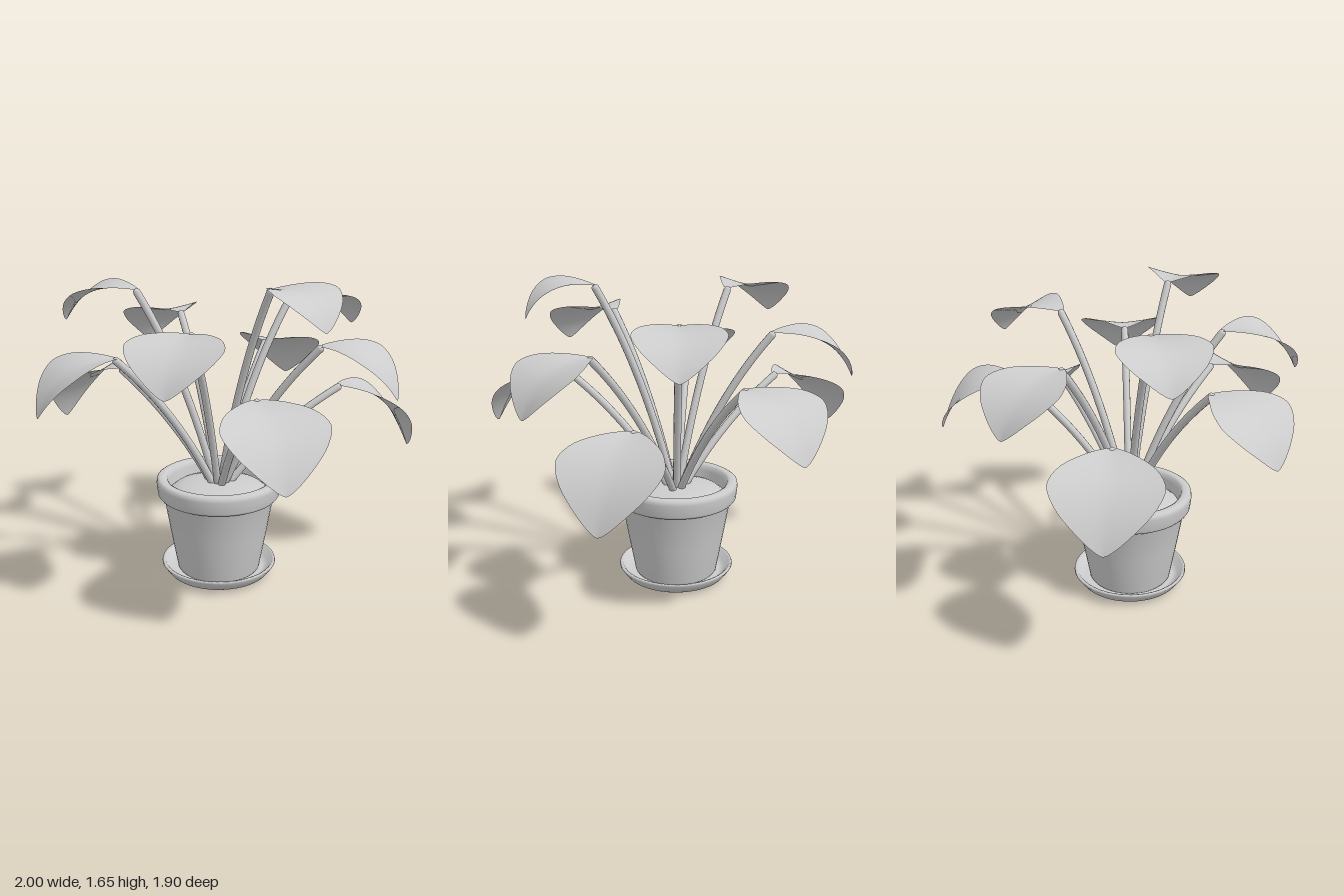
import * as THREE from 'three';

const clay = new THREE.MeshStandardMaterial({ color: 0xcccccc, side: THREE.DoubleSide });
clay.name = 'pale grey';

const CX = -0.007, CZ = 0.015; // pot axis

function add(parent, name, geometry) {
  const mesh = new THREE.Mesh(geometry, clay);
  mesh.name = name;
  parent.add(mesh);
  return mesh;
}

function lathe(parent, name, profile) {
  const points = profile.map(([r, y]) => new THREE.Vector2(r, y));
  add(parent, name, new THREE.LatheGeometry(points, 48)).position.set(CX, 0, CZ);
}

// Leaf outline: half width along its length, as a fraction of the widest half
const outline = new THREE.SplineCurve([
  [0, 0.1], [0.06, 0.28], [0.16, 0.53], [0.3, 0.83], [0.45, 1], [0.56, 0.98],
  [0.7, 0.8], [0.82, 0.55], [0.92, 0.3], [0.98, 0.11], [1, 0],
].map(([t, w]) => new THREE.Vector2(t, w)));

// A drooping blade with a slight fold along its midrib
function leafGeometry(base, tip, width) {
  const forward = new THREE.Vector3(tip.x - base.x, 0, tip.z - base.z);
  const run = forward.length(), drop = base.y - tip.y;
  forward.normalize();
  const up = new THREE.Vector3(0, 1, 0);
  const side = new THREE.Vector3().crossVectors(forward, up);
  const rib = new THREE.QuadraticBezierCurve(
    new THREE.Vector2(0, 0),
    new THREE.Vector2(run * 0.75, 0.115 - 0.39 * drop),
    new THREE.Vector2(run, -drop));
  const geometry = new THREE.PlaneGeometry(2, 1, 12, 30);
  const pos = geometry.attributes.position;
  const v = new THREE.Vector3();
  for (let i = 0; i < pos.count; i++) {
    const s = pos.getX(i);
    const o = outline.getPoint(THREE.MathUtils.clamp(pos.getY(i) + 0.5, 0, 1));
    const t = THREE.MathUtils.clamp(o.x, 0, 1);
    const p = rib.getPoint(t), d = rib.getTangent(t);
    const w = Math.max(o.y, 0);
    const lift = 0.03 * w * Math.pow(Math.abs(s), 1.4);
    v.copy(base)
      .addScaledVector(forward, p.x - d.y * lift)
      .addScaledVector(up, p.y + d.x * lift)
      .addScaledVector(side, s * w * width / 2);
    pos.setXYZ(i, v.x, v.y, v.z);
  }
  geometry.computeVertexNormals();
  return geometry;
}

// Leaf base, leaf tip, leaf width
const leaves = [
  [[0.15, 1.19, -0.55], [0.225, 0.915, -0.945], 0.49],
  [[-0.3, 1.37, -0.38], [-0.57, 1.145, -0.7], 0.45],
  [[-0.597, 1.075, -0.2], [-0.98, 0.745, -0.32], 0.51],
  [[-0.435, 1.547, 0.015], [-0.825, 1.38, 0.015], 0.43],
  [[-0.465, 1.25, 0.305], [-0.805, 0.985, 0.525], 0.48],
  [[-0.04, 1.427, 0.487], [-0.07, 1.215, 0.885], 0.455],
  [[0.295, 1.612, 0.285], [0.58, 1.455, 0.495], 0.41],
  [[0.275, 1.142, 0.535], [0.465, 0.83, 0.91], 0.5],
  [[0.52, 1.31, 0.1], [0.91, 1.07, 0.16], 0.475],
  [[0.595, 1.027, -0.25], [0.98, 0.67, -0.39], 0.51],
  [[0.315, 1.483, -0.285], [0.635, 1.31, -0.56], 0.42],
];

export function createModel() {
  const model = new THREE.Group();
  model.name = 'pottedPlant';

  lathe(model, 'saucer', [
    [0, 0], [0.215, 0], [0.25, 0.006], [0.275, 0.02], [0.295, 0.045], [0.312, 0.07],
    [0.309, 0.08], [0.295, 0.078], [0.27, 0.045], [0.24, 0.03], [0, 0.03],
  ]);
  lathe(model, 'pot', [
    [0, 0.03], [0.215, 0.03], [0.225, 0.045], [0.262, 0.25], [0.297, 0.455],
    [0.318, 0.458], [0.328, 0.472], [0.335, 0.535], [0.331, 0.555], [0.318, 0.563],
    [0.292, 0.563], [0.278, 0.555], [0.27, 0.53], [0.262, 0.46], [0.255, 0.42],
  ]);
  lathe(model, 'soil', [
    [0.268, 0.475], [0.24, 0.498], [0.19, 0.514], [0.11, 0.526], [0, 0.53],
  ]);

  // Arching stems, each with a rounded end tucked under one leaf
  const root = new THREE.Vector3(CX, 0.44, 0.01);
  leaves.forEach(([b, t, width], i) => {
    const branch = new THREE.Group();
    branch.name = `branch${i + 1}`;
    const base = new THREE.Vector3(...b), tip = new THREE.Vector3(...t);
    const end = new THREE.Vector3(base.x, base.y - 0.012, base.z);
    const bend = new THREE.Vector3(
      THREE.MathUtils.lerp(root.x, end.x, 0.4),
      THREE.MathUtils.lerp(root.y, end.y, 0.62),
      THREE.MathUtils.lerp(root.z, end.z, 0.4));
    const path = new THREE.QuadraticBezierCurve3(root, bend, end);
    add(branch, 'stem', new THREE.TubeGeometry(path, 16, 0.02, 10));
    add(branch, 'stemEnd', new THREE.SphereGeometry(0.02, 10, 8)).position.copy(end);
    add(branch, 'leaf', leafGeometry(base, tip, width));
    model.add(branch);
  });
  return model;
}
